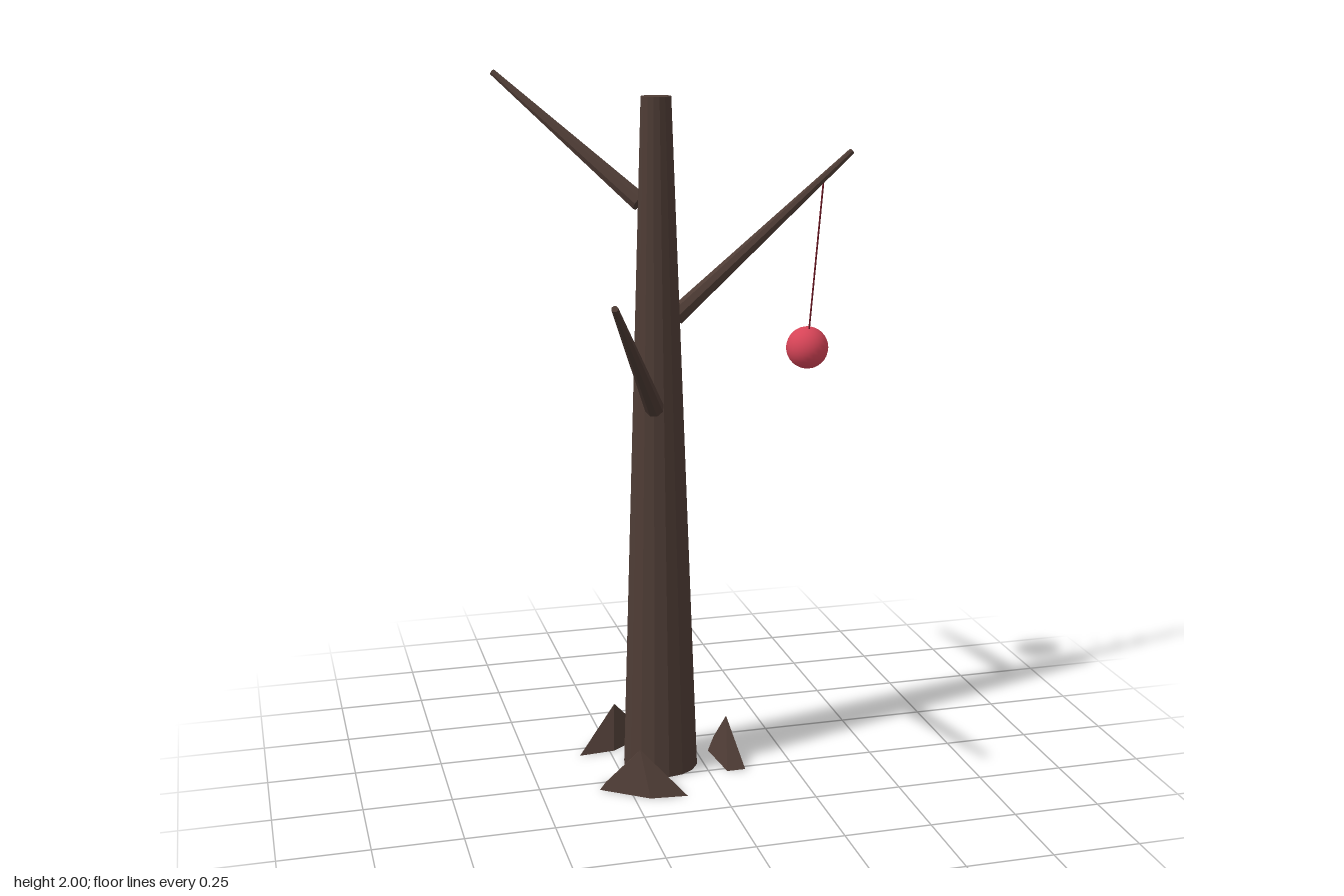
import * as THREE from 'three';

export function createModel() {
  const model = new THREE.Group();
  const mat = (name, color, flatShading = false) => {
    const m = new THREE.MeshStandardMaterial({ color, flatShading });
    m.name = name;
    return m;
  };
  const bark = mat('bark', 0x4e3c35, true);
  const red = mat('red', 0xd64457);
  const cord = mat('cord', 0x761c28);

  const add = (name, geometry, material, parent = model) => {
    const mesh = new THREE.Mesh(geometry, material);
    mesh.name = name;
    parent.add(mesh);
    return mesh;
  };

  // Tapered rod between two points
  const rod = (name, from, to, r0, r1, sides, material) => {
    const a = new THREE.Vector3(...from), b = new THREE.Vector3(...to);
    const dir = b.clone().sub(a);
    const mesh = add(name, new THREE.CylinderGeometry(r1, r0, dir.length(), sides), material);
    mesh.position.copy(a).add(b).multiplyScalar(0.5);
    mesh.quaternion.setFromUnitVectors(new THREE.Vector3(0, 1, 0), dir.normalize());
    return mesh;
  };

  // Trunk
  const cx = -0.121, cz = -0.095;
  rod('trunk', [cx, 0, cz], [cx, 1.945, cz], 0.109, 0.042, 16, bark);

  // Bare branches
  rod('rightHighBranch', [-0.16, 1.655, -0.13], [-0.509, 1.993, -0.452], 0.027, 0.009, 8, bark);
  rod('leftBranch', [-0.065, 1.335, -0.112], [0.509, 1.76, -0.289], 0.027, 0.009, 8, bark);
  rod('frontBranch', [-0.147, 1.095, -0.03], [-0.36, 1.473, 0.453], 0.027, 0.009, 8, bark);

  // Roots: flattened five-sided cones spaced around the trunk
  const rootGeo = new THREE.ConeGeometry(0.14, 0.125, 5, 1, false, Math.PI);
  rootGeo.scale(1 / 3, 1, 1);
  rootGeo.translate(0.201, 0.0625, 0);
  const roots = new THREE.Group();
  roots.name = 'roots';
  roots.position.set(cx, 0, cz);
  model.add(roots);
  for (let i = 0; i < 3; i++) {
    add('root', rootGeo, bark, roots).rotation.y = (i * Math.PI * 2) / 3;
  }

  // Hanging ball and its string
  rod('string', [0.416, 1.69, -0.262], [0.416, 1.18, -0.39], 0.0026, 0.0026, 6, cord);
  add('ball', new THREE.SphereGeometry(0.064, 24, 16), red).position.set(0.416, 1.162, -0.396);

  return model;
}
